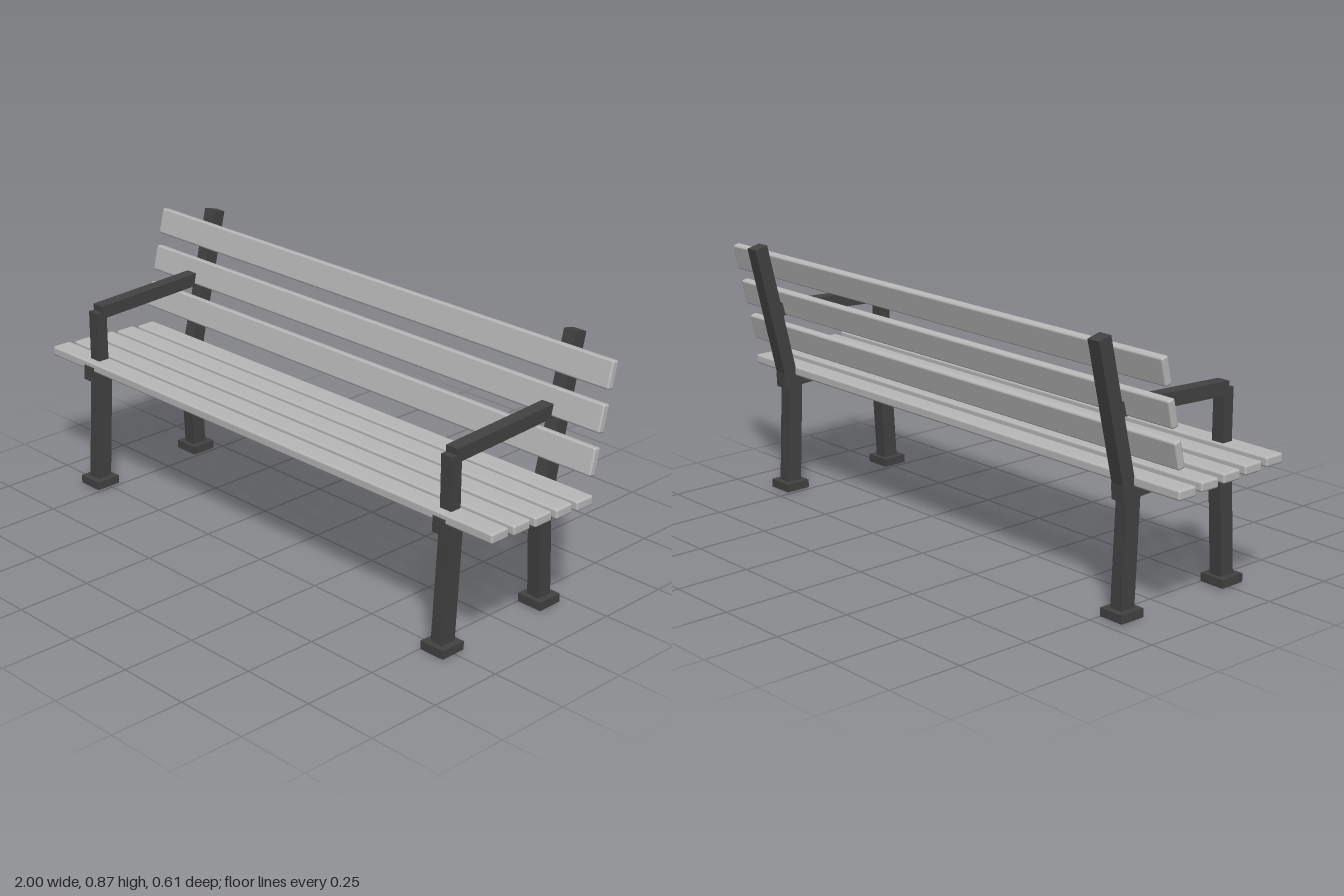
import * as THREE from 'three';
import { RoundedBoxGeometry } from 'three/addons/geometries/RoundedBoxGeometry.js';

export function createModel() {
  const bench = new THREE.Group();
  bench.name = 'bench';

  const iron = new THREE.MeshStandardMaterial({ color: 0x424242 });
  iron.name = 'dark frame';
  const wood = new THREE.MeshStandardMaterial({ color: 0xb8b8b8 });
  wood.name = 'pale slat';

  // Straight square-cut bar between two [z, y] points in the side plane
  function bar(name, parent, a, b, thickness, width) {
    const dz = b[0] - a[0], dy = b[1] - a[1];
    const mesh = new THREE.Mesh(
      new THREE.BoxGeometry(width, thickness, Math.hypot(dz, dy)), iron);
    mesh.name = name;
    mesh.position.set(0, (a[1] + b[1]) / 2, (a[0] + b[0]) / 2);
    mesh.rotation.x = -Math.atan2(dy, dz);
    parent.add(mesh);
  }

  // Side frames
  for (const [side, x] of [['left', 0.8], ['right', -0.8]]) {
    const frame = new THREE.Group();
    frame.name = side + 'Frame';
    frame.position.x = x;
    bar('seatRail', frame, [0.29, 0.414], [-0.198, 0.39], 0.05, 0.046);
    bar('frontLeg', frame, [0.26, 0.002], [0.235, 0.41], 0.053, 0.046);
    bar('rearLeg', frame, [-0.169, 0.002], [-0.151, 0.4], 0.053, 0.046);
    bar('backPost', frame, [-0.169, 0.4], [-0.279, 0.861], 0.0485, 0.046);
    bar('armPost', frame, [0.241, 0.42], [0.241, 0.623], 0.039, 0.044);
    bar('armrest', frame, [0.24, 0.622], [-0.21, 0.642], 0.044, 0.044);

    // Foot plates
    for (const [name, z] of [['frontFoot', 0.26], ['rearFoot', -0.169]]) {
      const foot = new THREE.Mesh(new THREE.BoxGeometry(0.089, 0.028, 0.089), iron);
      foot.name = name;
      foot.position.set(0, 0.018, z);
      frame.add(foot);
    }
    bench.add(frame);
  }

  // Seat slats, stepping down toward the back
  const seat = new THREE.Group();
  seat.name = 'seat';
  const seatGeometry = new RoundedBoxGeometry(2, 0.032, 0.071, 2, 0.007);
  for (let i = 0; i < 5; i++) {
    const slat = new THREE.Mesh(seatGeometry, wood);
    slat.name = 'seatSlat';
    slat.position.set(0, 0.439 - i * 0.0051, 0.25 - i * 0.092);
    seat.add(slat);
  }
  bench.add(seat);

  // Backrest slats, leaning with the posts
  const backrest = new THREE.Group();
  backrest.name = 'backrest';
  const backGeometry = new RoundedBoxGeometry(2, 0.088, 0.027, 2, 0.007);
  for (let i = 0; i < 3; i++) {
    const slat = new THREE.Mesh(backGeometry, wood);
    slat.name = 'backSlat';
    slat.position.set(0, 0.538 + i * 0.1265, -0.154 - i * 0.0306);
    slat.rotation.x = -0.234;
    backrest.add(slat);
  }
  bench.add(backrest);

  return bench;
}
